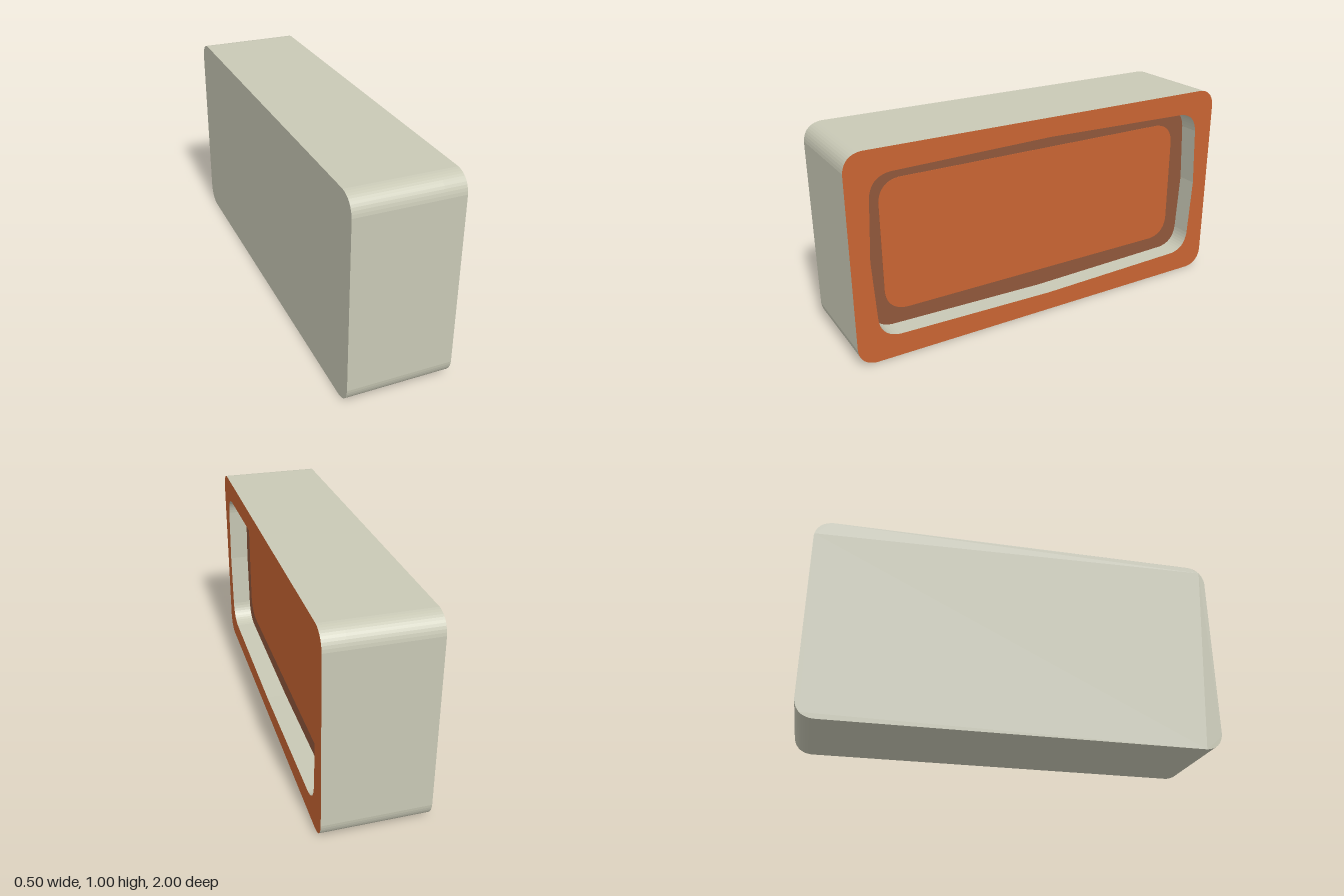
import * as THREE from 'three';

// Rounded rectangle, optionally with each edge bowed outward to a shallow peak
function roundedOutline(target, halfW, bottom, top, r, bow = 0) {
  const mid = (bottom + top) / 2;
  target.moveTo(-halfW + r, bottom);
  target.lineTo(0, bottom - bow);
  target.lineTo(halfW - r, bottom);
  target.quadraticCurveTo(halfW - r * 0.1, bottom + r * 0.1, halfW, bottom + r);
  target.lineTo(halfW + bow, mid);
  target.lineTo(halfW, top - r);
  target.quadraticCurveTo(halfW - r * 0.1, top - r * 0.1, halfW - r, top);
  target.lineTo(0, top + bow);
  target.lineTo(-halfW + r, top);
  target.quadraticCurveTo(-halfW + r * 0.1, top - r * 0.1, -halfW, top - r);
  target.lineTo(-halfW - bow, mid);
  target.lineTo(-halfW, bottom + r);
  target.quadraticCurveTo(-halfW + r * 0.1, bottom + r * 0.1, -halfW + r, bottom);
  return target;
}

// Extrude an outline along x, from x0 to x1
function slab(name, shape, x0, x1, material) {
  const geo = new THREE.ExtrudeGeometry(shape, { depth: x1 - x0, bevelEnabled: false, curveSegments: 10 });
  geo.translate(0, 0, x0);
  geo.rotateY(Math.PI / 2);
  const mesh = new THREE.Mesh(geo, material);
  mesh.name = name;
  return mesh;
}

function paint(name, color) {
  const m = new THREE.MeshStandardMaterial({ color });
  m.name = name;
  return m;
}

export function createModel() {
  const cream = paint('cream', 0xc8c8b5);
  const orange = paint('orange', 0xc86432);
  const brown = paint('brown', 0x8f573b);
  const group = new THREE.Group();
  group.name = 'recessedBox';

  const outer = () => roundedOutline(new THREE.Shape(), 1, 0, 1, 0.085);

  // Solid back portion of the case
  group.add(slab('caseBody', outer(), -0.25, 0.15, cream));

  // Frame around the recess: orange face, cream outer and inner walls
  const frame = outer();
  frame.holes.push(roundedOutline(new THREE.Path(), 0.895, 0.11, 0.89, 0.1, 0.016));
  group.add(slab('frame', frame, 0.15, 0.25, [orange, cream]));

  // Recess floor border, stopping just short of the bowed upper wall
  const border = roundedOutline(new THREE.Shape(), 0.93, 0.07, 0.895, 0.02);
  group.add(slab('recessBorder', border, 0.15, 0.152, brown));

  // Central panel
  const panel = roundedOutline(new THREE.Shape(), 0.82, 0.18, 0.82, 0.1);
  group.add(slab('centrePanel', panel, 0.152, 0.154, orange));

  return group;
}
